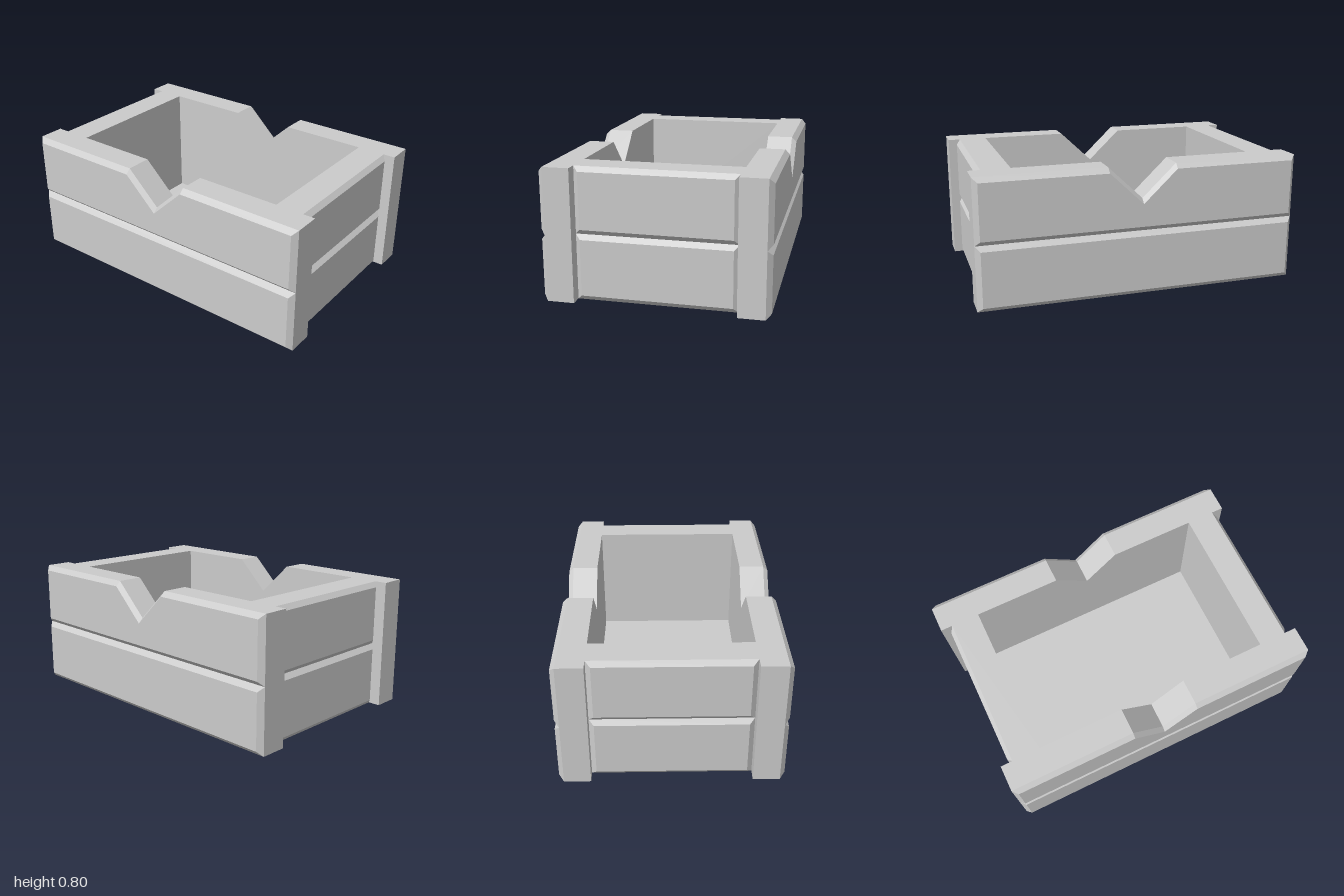
import * as THREE from 'three';

const W = 1, H = 0.8, BEVEL = 0.03;
const SIDE_X = 0.925, INNER_X = 0.75, INNER_Z = 0.477, END_Z = 0.637, FLOOR = 0.07;
const NOTCH_X = 0.21, NOTCH_Y = 0.6;

// Plank outline from y0 to y1, with an optional V notch in its top edge
function outline(halfWidth, y0, y1, notched) {
  const pts = [[-halfWidth, y0], [halfWidth, y0], [halfWidth, y1]];
  if (notched) pts.push([NOTCH_X, y1], [0, NOTCH_Y], [-NOTCH_X, y1]);
  pts.push([-halfWidth, y1]);
  return new THREE.Shape(pts.map(([x, y]) => new THREE.Vector2(x, y)));
}

// Raised plank: the outer face is drawn in on every edge to form the bevels
function plankGeometry(halfWidth, y0, y1, depth, notched) {
  const geo = new THREE.ExtrudeGeometry(outline(halfWidth, y0, y1, notched), { depth, bevelEnabled: false });
  const p = geo.attributes.position;
  for (let i = 0; i < p.count; i++) {
    if (p.getZ(i) < depth / 2) continue;
    const x = p.getX(i), y = p.getY(i);
    if (Math.abs(x) > halfWidth - 0.001) p.setX(i, x - Math.sign(x) * BEVEL);
    p.setY(i, y < y0 + 0.001 ? y + BEVEL : y - BEVEL);
  }
  geo.computeVertexNormals();
  return geo;
}

export function createModel() {
  const model = new THREE.Group();
  const material = new THREE.MeshStandardMaterial({ color: 0xcccccc, flatShading: true });

  const add = (parent, name, geo, x = 0, y = 0, z = 0) => {
    const mesh = new THREE.Mesh(geo, material);
    mesh.name = name;
    mesh.position.set(x, y, z);
    parent.add(mesh);
  };

  // Floor of the crate
  add(model, 'floor', new THREE.BoxGeometry(2 * SIDE_X, FLOOR, 2 * INNER_Z), 0, FLOOR / 2, 0);

  // Long notched walls, front and back
  const longWall = new THREE.ExtrudeGeometry(outline(W, 0, H, true), { depth: END_Z - INNER_Z, bevelEnabled: false });
  const longLower = plankGeometry(W, 0, H / 2, BEVEL, false);
  const longUpper = plankGeometry(W, H / 2, H, BEVEL, true);
  ['front', 'back'].forEach((side, i) => {
    const wall = new THREE.Group();
    wall.name = side + 'Wall';
    wall.rotation.y = i * Math.PI;
    add(wall, side + 'WallCore', longWall, 0, 0, INNER_Z);
    add(wall, side + 'LowerPlank', longLower, 0, 0, END_Z);
    add(wall, side + 'UpperPlank', longUpper, 0, 0, END_Z);
    model.add(wall);
  });

  // Short walls, set in between the ends of the long walls
  const thickness = SIDE_X - INNER_X;
  const shortWall = new THREE.BoxGeometry(2 * INNER_Z, H, thickness);
  const shortLower = plankGeometry(INNER_Z, 0, H / 2, 0.025, false);
  const shortUpper = plankGeometry(INNER_Z, H / 2, H, 0.025, false);
  ['left', 'right'].forEach((side, i) => {
    const wall = new THREE.Group();
    wall.name = side + 'Wall';
    wall.rotation.y = Math.PI / 2 + i * Math.PI;
    add(wall, side + 'WallCore', shortWall, 0, H / 2, INNER_X + thickness / 2);
    add(wall, side + 'LowerPlank', shortLower, 0, 0, SIDE_X);
    add(wall, side + 'UpperPlank', shortUpper, 0, 0, SIDE_X);
    model.add(wall);
  });

  return model;
}
